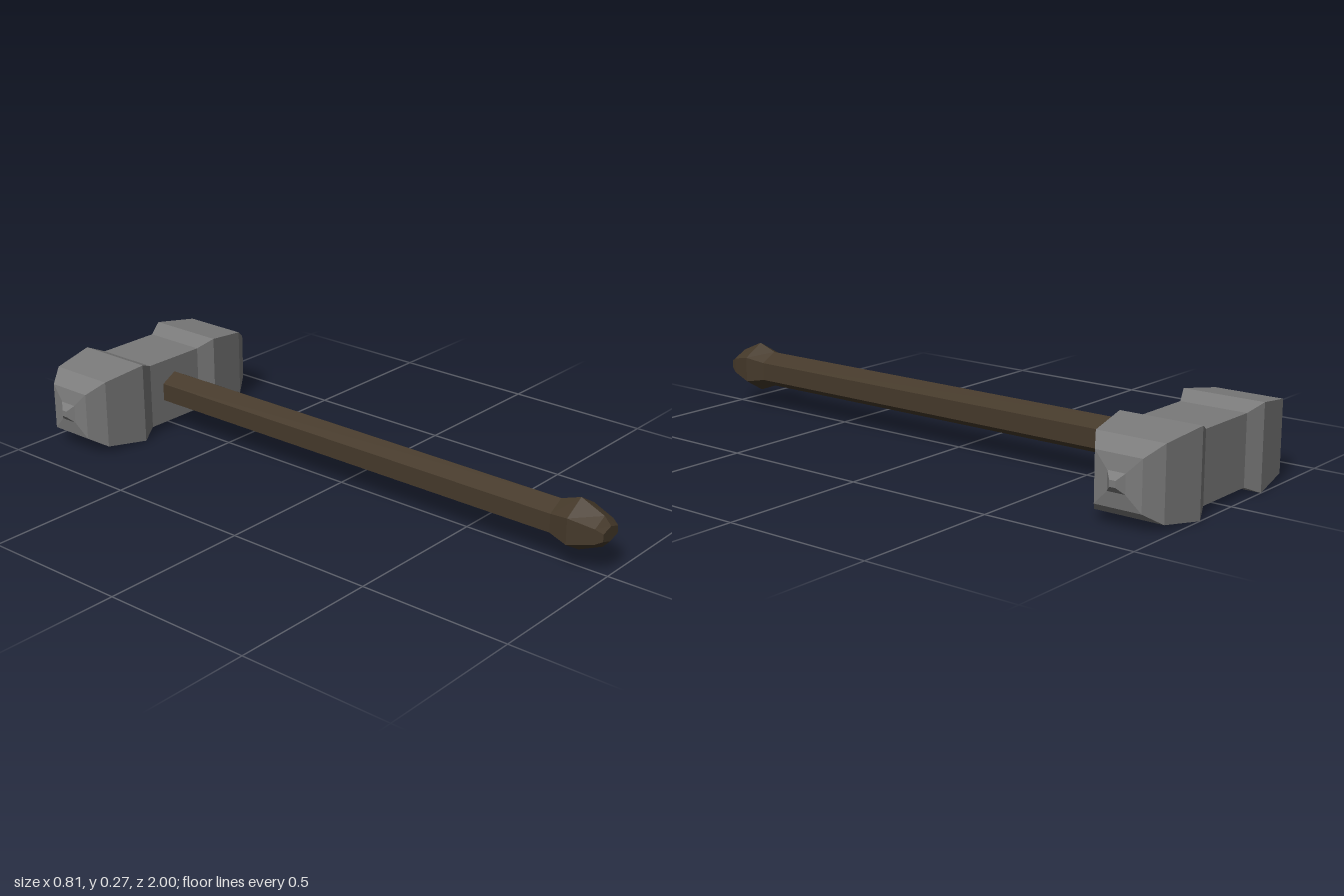
import * as THREE from 'three';

// Faceted solid along +y from rings [position, half-width, half-depth], closed at both ends
function loft(rings, sides, phase) {
  const all = [[rings[0][0], 0, 0], ...rings, [rings[rings.length - 1][0], 0, 0]];
  const lathe = new THREE.LatheGeometry(all.map(r => new THREE.Vector2(1, r[0])), sides, phase);
  const pos = lathe.attributes.position;
  for (let i = 0; i < pos.count; i++) {
    const [, w, d] = all[i % all.length];
    pos.setX(i, pos.getX(i) * w);
    pos.setZ(i, pos.getZ(i) * d);
  }
  const geometry = lathe.toNonIndexed();
  geometry.computeVertexNormals();
  return geometry;
}

function part(name, geometry, color) {
  const mesh = new THREE.Mesh(geometry, new THREE.MeshStandardMaterial({ color, flatShading: true }));
  mesh.name = name;
  return mesh;
}

export function createModel() {
  const group = new THREE.Group();
  group.name = 'warHammer';
  const centreY = 0.138, headZ = -0.863;
  const stone = 0x7a7a7a, wood = 0x45392a;

  // Square head along x: waist, flared striking ends and a small stud, mirrored
  const half = [[0.113, 0.112], [0.17, 0.137], [0.32, 0.115], [0.377, 0.078], [0.386, 0.03], [0.405, 0.01]];
  const profile = [...half.map(([x, h]) => [-x, h]).reverse(), ...half];
  const headRings = profile.map(([x, h]) => [x, h * Math.SQRT2, h * Math.SQRT2]);
  const head = part('head', loft(headRings, 4, Math.PI / 4).rotateZ(-Math.PI / 2), stone);
  head.position.set(0, centreY, headZ);
  group.add(head);

  // Six-sided handle along z, with an edge on top; widths are given as half-extents
  const hex = rings => loft(rings.map(([z, w, h]) => [z, w / Math.sin(Math.PI / 3), h]), 6, 0).rotateX(Math.PI / 2);
  const shaft = part('shaft', hex([[-0.78, 0.055, 0.06], [0.83, 0.055, 0.06]]), wood);
  const pommel = part('pommel', hex([
    [0.83, 0.055, 0.06], [0.897, 0.071, 0.084], [0.977, 0.049, 0.049], [1, 0.039, 0.024],
  ]), wood);
  for (const mesh of [shaft, pommel]) {
    mesh.position.y = centreY;
    group.add(mesh);
  }
  return group;
}
